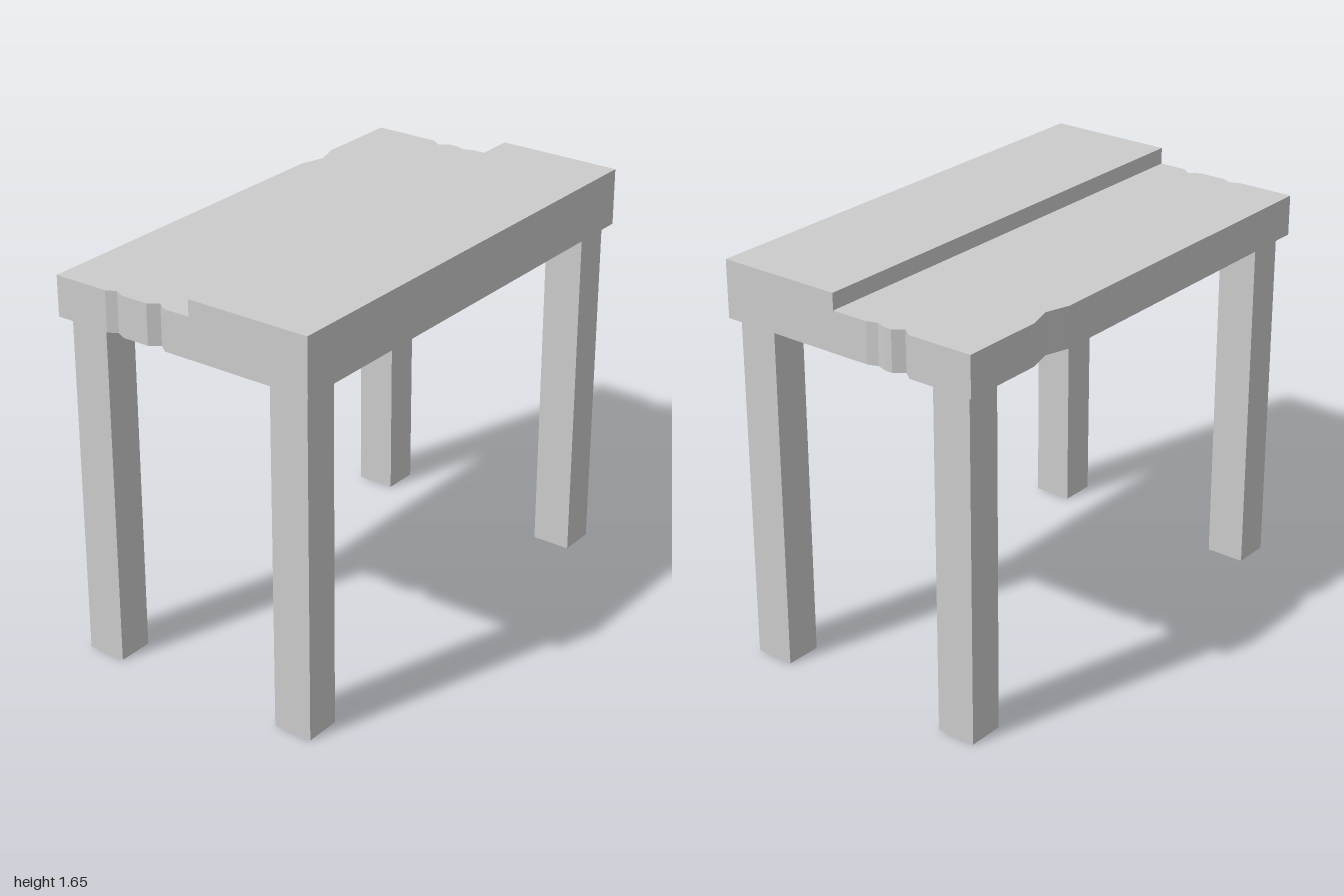
import * as THREE from 'three';

export function createModel() {
  const group = new THREE.Group();
  const material = new THREE.MeshStandardMaterial({ color: 0xcccccc, flatShading: true });

  function add(name, geometry, x, y, z) {
    const mesh = new THREE.Mesh(geometry, material);
    mesh.name = name;
    mesh.position.set(x, y, z);
    group.add(mesh);
  }

  const underside = 1.42;
  const seam = 0.05;

  // Lower plank: outline in x and -z, with V-shaped chips along its edges
  const outline = [
    [-0.575, -1],
    [-0.34, -1], [-0.30, -0.98], [-0.26, -1],
    [-0.145, -1], [-0.105, -0.97], [-0.065, -1],
    [seam, -1], [seam, 1],
    [-0.105, 1], [-0.145, 0.985], [-0.19, 1],
    [-0.22, 1], [-0.26, 0.97], [-0.30, 1],
    [-0.575, 1],
    [-0.575, 0.65], [-0.545, 0.55], [-0.575, 0.45],
  ].map(([x, y]) => new THREE.Vector2(x, y));
  const lowPlank = new THREE.ExtrudeGeometry(new THREE.Shape(outline), { depth: 0.165, bevelEnabled: false });
  lowPlank.rotateX(-Math.PI / 2);
  add('lowPlank', lowPlank, 0, underside, 0);

  // Thicker, raised plank
  const width = 0.573 - seam;
  add('raisedPlank', new THREE.BoxGeometry(width, 0.232, 2), seam + width / 2, underside + 0.116, 0);

  // Four square legs
  for (const [side, x] of [['Right', -0.458], ['Left', 0.462]]) {
    for (const [end, z] of [['front', 0.89], ['back', -0.89]]) {
      add(`${end}${side}Leg`, new THREE.BoxGeometry(0.164, underside, 0.15), x, underside / 2, z);
    }
  }

  return group;
}
